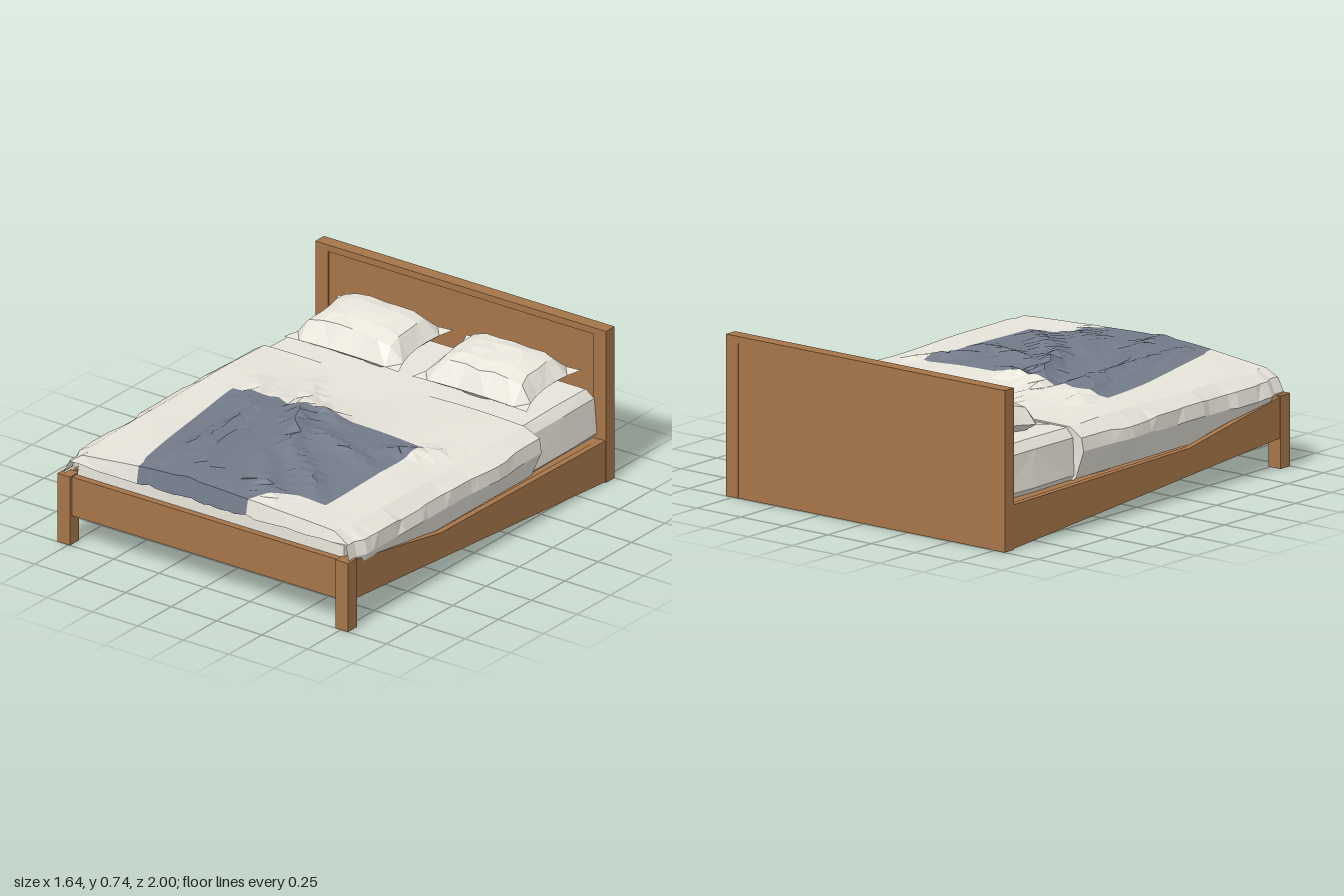
import * as THREE from 'three';

const wood = new THREE.MeshStandardMaterial({ color: 0xa67549, flatShading: true });
const linen = new THREE.MeshStandardMaterial({ color: 0xe7e4da, flatShading: true, side: THREE.DoubleSide });
const blue = new THREE.MeshStandardMaterial({ color: 0x737b8a, flatShading: true, side: THREE.DoubleSide });
wood.name = 'wood';
linen.name = 'linen';
blue.name = 'blueCloth';

const { lerp, clamp, smoothstep: smooth } = THREE.MathUtils;

// Seeded hash in -1..1
function hash(i, j, k = 0) {
  const s = Math.sin(i * 127.1 + j * 311.7 + k * 74.7) * 43758.5453;
  return (s - Math.floor(s)) * 2 - 1;
}

function box(group, name, x0, x1, y0, y1, z0, z1) {
  const mesh = new THREE.Mesh(new THREE.BoxGeometry(x1 - x0, y1 - y0, z1 - z0), wood);
  mesh.position.set((x0 + x1) / 2, (y0 + y1) / 2, (z0 + z1) / 2);
  mesh.name = name;
  group.add(mesh);
}

// Faceted cloth from a grid of points; paint(i, j) picks the material slot of a cell
function sheet(rows, paint = () => 0) {
  const slots = [[], []];
  for (let j = 0; j < rows.length - 1; j++) {
    for (let i = 0; i < rows[j].length - 1; i++) {
      const a = rows[j][i], b = rows[j + 1][i], c = rows[j + 1][i + 1], d = rows[j][i + 1];
      const tris = (i + j) % 2 ? [a, b, c, a, c, d] : [a, b, d, b, c, d];
      for (const p of tris) slots[paint(i, j)].push(...p);
    }
  }
  const geo = new THREE.BufferGeometry();
  geo.setAttribute('position', new THREE.Float32BufferAttribute(slots.flat(), 3));
  geo.addGroup(0, slots[0].length / 3, 0);
  geo.addGroup(slots[0].length / 3, slots[1].length / 3, 1);
  geo.computeVertexNormals();
  return geo;
}

// Splits key values into evenly spaced steps
function subdivide(keys, counts) {
  const out = [keys[0]];
  counts.forEach((n, k) => {
    for (let s = 1; s <= n; s++) out.push(lerp(keys[k], keys[k + 1], s / n));
  });
  return out;
}

// Crease lines of the blanket: x0, z0, x1, z1, height
const folds = [
  [-0.50, -0.10, -0.28, 0.35, 0.03], [-0.31, -0.25, -0.32, 0.85, 0.032],
  [-0.25, -0.12, 0.10, 0.50, 0.045], [0.10, 0.45, 0.42, 0.72, 0.03],
  [0.00, 0.22, 0.45, 0.37, 0.025], [0.60, 0.02, 0.38, 0.22, 0.03],
  [-0.22, 0.40, -0.12, 0.95, 0.025], [0.00, 0.55, 0.30, 0.92, 0.02],
  [-0.14, 0.00, 0.06, 0.08, 0.04],
];

function blanketHeight(x, z) {
  let y = 0.447 + 0.036 * Math.max(0, 1 - (x / 0.75) ** 2) * smooth(z, -0.45, 0.3);
  y += 0.006 * Math.sin(x * 6 + z * 3) + 0.003 * Math.sin(z * 9 - x * 4);
  let crease = 0;
  for (const [x0, z0, x1, z1, h] of folds) {
    const dx = x1 - x0, dz = z1 - z0;
    const t = clamp(((x - x0) * dx + (z - z0) * dz) / (dx * dx + dz * dz), 0, 1);
    const dist = Math.hypot(x - x0 - t * dx, z - z0 - t * dz);
    crease = Math.max(crease, h * Math.max(0, 1 - dist / 0.065) * (0.5 + 2 * t * (1 - t)));
  }
  return y + crease;
}

function makeBlanket() {
  const counts = [3, 18, 5, 3];
  const zs = subdivide([-0.43, 0.04, 0.78, 0.965], [7, 16, 4]);
  const keyRows = [0, 7, 23, 27];
  const keyCols = [0, 3, 21, 26, 29];
  const side = [[0.75, 0.215], [0.805, 0.34], [0.79, 0.405]];
  const rows = zs.map((z, j) => {
    const t = clamp((z - 0.04) / 0.92, 0, 1);
    const left = lerp(-0.55, -0.4, t ** 1.25);
    const corner = lerp(0.36, 0.22, Math.sqrt(clamp((z - 0.78) / 0.185, 0, 1)));
    const taper = z > 0.9 ? 0.97 : 1;
    const row = subdivide([-0.72, left, corner, 0.505, 0.71], counts).map((x, i) => {
      const free = !keyCols.includes(i) && !keyRows.includes(j);
      const px = x + (free ? 0.012 * hash(i, j) : 0);
      const pz = z + (free ? 0.012 * hash(i, j, 1) : 0);
      return [px * taper, blanketHeight(px, pz), pz];
    });
    // Hanging sides, swelling a little below the pillows
    const swell = 0.018 * Math.exp(-(((z + 0.1) / 0.12) ** 2));
    const hang = (s) => side.map(([x, y], k) => [
      s * (x + (k ? swell + 0.01 * hash(j >> 2, s, k) : 0)) * taper,
      y + (k ? 0.008 * hash(j >> 2, k, s) : 0), z]);
    return [...hang(-1), ...row, ...hang(1).reverse()];
  });
  // Turned hem near the pillows and drop at the foot end
  rows.unshift(rows[0].map(([x, y]) => [x * 0.92, y - 0.03, -0.425]));
  const last = rows[rows.length - 1];
  rows.push(last.map(([x, y], i) => [x, Math.min(y, 0.4 + 0.008 * hash(i, 5)), 0.98]));

  const paint = (i, j) => {
    const c = i - 3, r = j - 1;
    return r >= 7 && c >= 3 && (c < 21 || (c < 26 && r < 23)) ? 1 : 0;
  };
  const mesh = new THREE.Mesh(sheet(rows, paint), [linen, blue]);
  mesh.name = 'blanket';
  return mesh;
}

// Pillow with pointed corners and pinched edges, raised toward the headboard
function makePillow(cx, seed) {
  const pillow = new THREE.Group();
  pillow.name = 'pillow';
  const nu = 8, nv = 6;
  for (const up of [1, -1]) {
    const rows = [];
    for (let j = 0; j <= nv; j++) {
      const v = (j / nv) * 2 - 1;
      const row = [];
      for (let i = 0; i <= nu; i++) {
        const u = (i / nu) * 2 - 1;
        const inside = Math.max(0, (1 - u ** 4) * (1 - v ** 4));
        const jit = inside > 0.001 ? 0.01 : 0;
        const x = cx + u * 0.315 * (1 - 0.15 * (1 - v * v) * u * u) + jit * hash(i, j, seed);
        const z = -0.72 + v * 0.205 * (1 - 0.08 * (1 - u * u) * v * v) + jit * hash(i, j, seed + 1);
        const y = 0.495 - 0.025 * v + inside ** 0.75 * (up > 0 ? 0.105 : -0.06) + jit * 0.4 * hash(i, j, seed + 2);
        row.push([x, y, z]);
      }
      rows.push(up > 0 ? row : row.reverse());
    }
    const half = new THREE.Mesh(sheet(rows), linen);
    half.name = up > 0 ? 'pillowTop' : 'pillowUnderside';
    pillow.add(half);
  }
  return pillow;
}

export function createModel() {
  const bed = new THREE.Group();
  bed.name = 'bed';
  const L = -0.81, R = 0.79, P = 0.07;

  // Headboard
  const headboard = new THREE.Group();
  headboard.name = 'headboard';
  box(headboard, 'headPost', L, L + P, 0, 0.742, -1, -0.935);
  box(headboard, 'headPost', R - P, R, 0, 0.742, -1, -0.935);
  box(headboard, 'headTopRail', L + P, R - P, 0.71, 0.742, -1, -0.935);
  box(headboard, 'headPanel', L + P, R - P, 0, 0.71, -0.996, -0.944);
  bed.add(headboard);

  // Foot end
  const footboard = new THREE.Group();
  footboard.name = 'footboard';
  box(footboard, 'footLeg', L, L + P, 0, 0.335, 0.932, 1);
  box(footboard, 'footLeg', R - P, R, 0, 0.335, 0.932, 1);
  box(footboard, 'footRail', L + P, R - P, 0.14, 0.33, 0.945, 0.985);
  bed.add(footboard);

  // Sloping side rails
  const profile = new THREE.Shape([[0.935, 0.33], [0.3, 0.22], [-0.94, 0.205], [-0.94, 0.003], [0.935, 0.14]]
    .map(([z, y]) => new THREE.Vector2(z, y)));
  const railGeo = new THREE.ExtrudeGeometry(profile, { depth: 0.03, bevelEnabled: false });
  railGeo.rotateY(-Math.PI / 2);
  for (const x of [L + 0.034, R - 0.004]) {
    const rail = new THREE.Mesh(railGeo, wood);
    rail.position.x = x;
    rail.name = 'sideRail';
    bed.add(rail);
  }

  // Base panel and cross slats
  box(bed, 'basePanel', L + 0.03, R - 0.03, 0.185, 0.203, -0.945, 0.945);
  for (let k = 0; k < 6; k++) {
    const z = -0.8 + k * 0.32;
    box(bed, 'slat', L + 0.03, R - 0.03, 0.155, 0.186, z - 0.035, z + 0.035);
  }

  // Mattress, softened by drawing in its upper and lower corners
  const loops = [[0.72, 0.204], [0.74, 0.23], [0.73, 0.4], [0.695, 0.442]].map(([w, y], k) => {
    const zb = -0.935 + (0.74 - w) * 0.5, zf = 0.955 - (0.74 - w) * 0.5;
    const pts = [];
    for (let i = 0; i <= 6; i++) pts.push([lerp(-w, w, i / 6), y, zf]);
    for (let i = 1; i <= 8; i++) pts.push([w + (i < 8 ? 0.008 * hash(i, k) : 0), y, lerp(zf, zb, i / 8)]);
    for (let i = 1; i <= 6; i++) pts.push([lerp(w, -w, i / 6), y, zb]);
    for (let i = 1; i <= 8; i++) pts.push([-w + (i < 8 ? 0.008 * hash(i, k, 3) : 0), y, lerp(zb, zf, i / 8)]);
    return pts;
  });
  loops.push(loops[3].map(() => [0, 0.45, 0]));
  const mattress = new THREE.Mesh(sheet(loops.reverse()), linen);
  mattress.name = 'mattress';
  bed.add(mattress);

  bed.add(makeBlanket(), makePillow(-0.36, 1), makePillow(0.345, 7));
  return bed;
}
